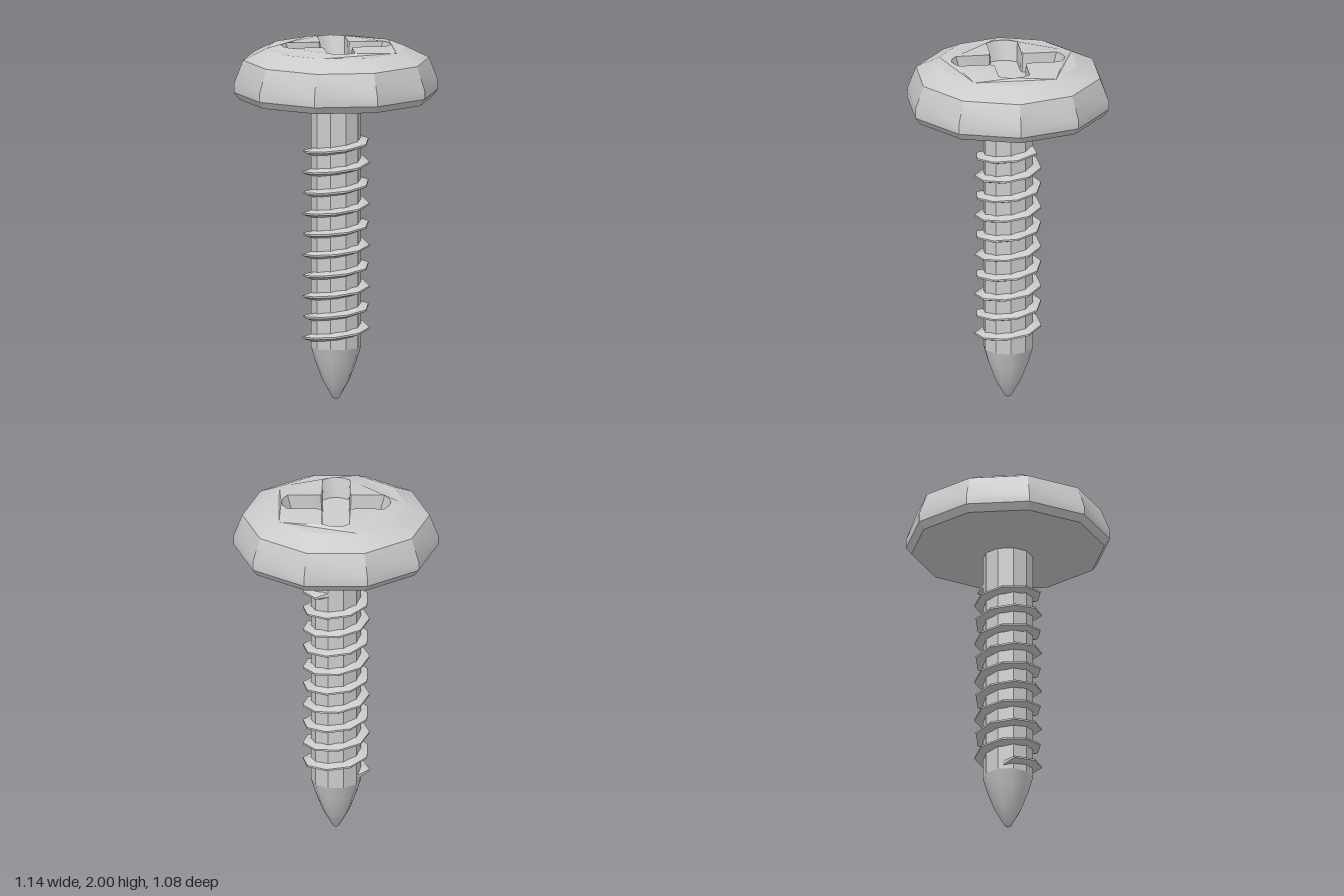
import * as THREE from 'three';
import { mergeGeometries, toCreasedNormals } from 'three/addons/utils/BufferGeometryUtils.js';

const SIDES = 10;
const material = new THREE.MeshStandardMaterial({ color: 0xcccccc });

// Positions only, so that different geometries can be merged
function bare(geometry) {
  const g = geometry.index ? geometry.toNonIndexed() : geometry;
  for (const key of Object.keys(g.attributes)) if (key !== 'position') g.deleteAttribute(key);
  return g;
}

function addMesh(group, name, geometries, crease) {
  // Scaled up while creasing so that small edges stay distinct
  const merged = mergeGeometries(geometries.map(bare)).scale(100, 100, 100);
  const mesh = new THREE.Mesh(toCreasedNormals(merged, crease).scale(0.01, 0.01, 0.01), material);
  mesh.name = name;
  group.add(mesh);
}

function lathe(profile) {
  const points = profile.map(([r, y]) => new THREE.Vector2(r, y));
  return new THREE.LatheGeometry(points, SIDES, Math.PI / 2);
}

// Quads between successive closed rings of [x, y, z] points
function skin(rings) {
  const out = [];
  for (let i = 0; i < rings.length - 1; i++) {
    const a = rings[i], b = rings[i + 1], n = a.length;
    for (let j = 0; j < n; j++) {
      const k = (j + 1) % n;
      out.push(...a[j], ...b[j], ...b[k], ...a[j], ...b[k], ...a[k]);
    }
  }
  return new THREE.BufferGeometry().setAttribute('position', new THREE.Float32BufferAttribute(out, 3));
}

// Cross outline with rounded arm ends and filleted inner corners
function crossOutline(endInset, sideInset) {
  const widths = [0.087 - sideInset, 0.077 - sideInset];
  const lengths = [0.305 - endInset, 0.317 - endInset];
  const f = 0.025, points = [];
  for (let k = 0; k < 4; k++) {
    const w = widths[k % 2], root = widths[(k + 1) % 2], L = lengths[k % 2];
    const arm = [
      [root + f, -w], [L - 0.035, -w], [L - 0.009, -w * 0.5], [L, 0],
      [L - 0.009, w * 0.5], [L - 0.035, w], [root + f, w], [root + 0.3 * f, w + 0.3 * f],
    ];
    for (const [u, v] of arm) {
      points.push(new THREE.Vector2(u, v).rotateAround(new THREE.Vector2(), k * Math.PI / 2));
    }
  }
  return points;
}

// Ten-sided domed head with a cross recess
function buildHead(group) {
  const rimR = 0.39, rimY = 1.985, topY = 2, floorY = 1.89;
  const body = lathe([[0.1, 1.645], [0.54, 1.7], [0.57, 1.74], [0.57, 1.79], [0.52, 1.92], [rimR, rimY]]);

  const decagon = [];
  for (let i = 0; i < SIDES; i++) {
    const a = i / SIDES * Math.PI * 2;
    decagon.push(new THREE.Vector2(rimR * Math.cos(a), rimR * Math.sin(a)));
  }
  const upper = crossOutline(0, 0), lower = crossOutline(0.028, 0.005);
  const capShape = new THREE.Shape(decagon);
  capShape.holes.push(new THREE.Path(upper));
  const cap = new THREE.ShapeGeometry(capShape).rotateX(-Math.PI / 2);
  const p = cap.attributes.position;
  for (let i = 0; i < p.count; i++) {
    p.setY(i, Math.hypot(p.getX(i), p.getZ(i)) > 0.35 ? rimY : topY);
  }
  addMesh(group, 'head', [body, cap], 0.45);

  // Recess walls face the centre
  const ring = (points, y) => points.map((v) => [v.x, y, -v.y]);
  const walls = skin([ring(lower, floorY), ring(upper, topY)]);
  const floor = new THREE.ShapeGeometry(new THREE.Shape(lower)).rotateX(-Math.PI / 2).translate(0, floorY, 0);
  addMesh(group, 'crossRecess', [walls, floor], 0.6);
}

// Helical thread with a tapering wedge section that fades out at both ends
function buildThread(group) {
  const pitch = 0.1165, perTurn = 8.5, startTurn = -0.12, endTurn = 9.77;
  const steps = Math.round((endTurn - startTurn) * perTurn);
  const rootR = 0.12, crestR = 0.187;
  const rings = [];
  for (let i = 0; i <= steps; i++) {
    const turn = startTurn + i / perTurn;
    const a = Math.PI - turn * Math.PI * 2;
    const y = 0.35 + turn * pitch;
    const crest = i === 0 || i === steps ? rootR + 0.005 : crestR;
    const section = [[rootR, -0.027], [crest, -0.005], [crest, 0.005], [rootR, 0.027]];
    rings.push(section.map(([r, dy]) => [r * Math.cos(a), y + dy, r * Math.sin(a)]));
  }
  addMesh(group, 'thread', [skin(rings)], 0.3);
}

export function createModel() {
  const group = new THREE.Group();
  group.name = 'screw';
  buildHead(group);
  addMesh(group, 'shank', [lathe([[0.14, 0.3], [0.14, 1.665]])], 0.3);
  addMesh(group, 'point', [lathe([[0.001, 0], [0.018, 0.01], [0.075, 0.11], [0.115, 0.215], [0.14, 0.3]])], 0.62);
  buildThread(group);
  return group;
}
